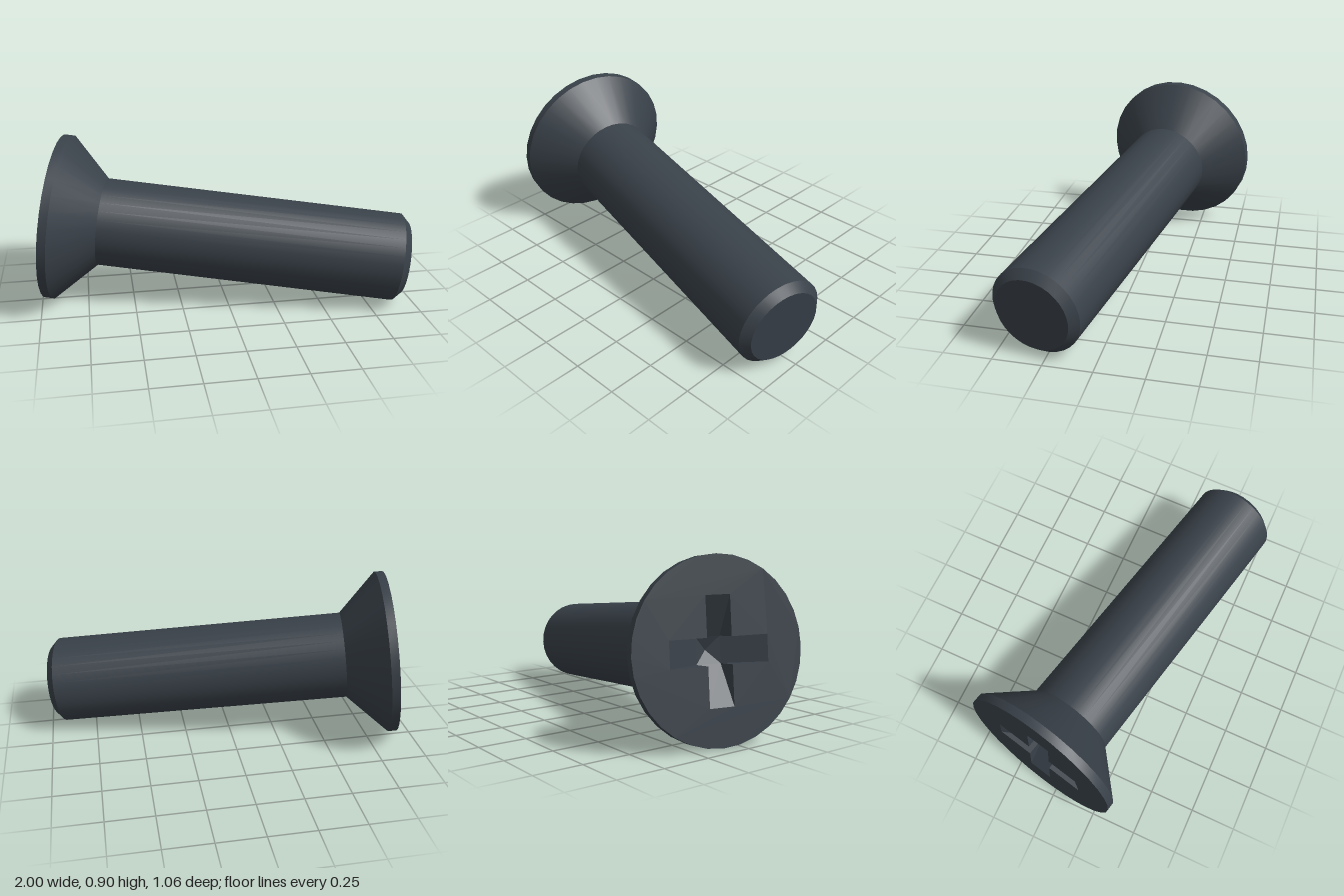
import * as THREE from 'three';
import { toCreasedNormals } from 'three/addons/utils/BufferGeometryUtils.js';

const SIDES = 32;
const HEAD_R = 0.448, SHAFT_R = 0.238;
const ARM = 0.26, HALF = 0.065, DEPTH = 0.11; // cross recess

export function createModel() {
  const steel = new THREE.MeshStandardMaterial({ color: 0x394149 });
  steel.name = 'darkSteel';

  const screw = new THREE.Group();
  screw.name = 'countersunkScrew';
  const add = (name, geometry) => {
    const mesh = new THREE.Mesh(geometry, steel);
    mesh.name = name;
    screw.add(mesh);
  };
  const turned = (profile) => toCreasedNormals(
    new THREE.LatheGeometry(profile.map(([r, y]) => new THREE.Vector2(r, y)), SIDES), 0.5);

  // Countersunk head: thin rim, then a 45 degree cone
  add('head', turned([[HEAD_R, 0], [HEAD_R, 0.045], [SHAFT_R, 0.255]]));

  // Shaft with a chamfered flat tip
  add('shaft', turned([[SHAFT_R, 0.255], [SHAFT_R, 1.861], [0.197, 1.902], [0, 1.902]]));

  // Flat head face with a cross-shaped opening
  const rim = [], cross = [];
  for (let i = 0; i < SIDES; i++) {
    const a = (i / SIDES) * Math.PI * 2;
    rim.push(new THREE.Vector2(HEAD_R * Math.cos(a), HEAD_R * Math.sin(a)));
  }
  const centre = new THREE.Vector2();
  for (let i = 0; i < 4; i++) {
    for (const [x, y] of [[ARM, -HALF], [ARM, HALF], [HALF, HALF]]) {
      cross.push(new THREE.Vector2(x, y).rotateAround(centre, i * Math.PI / 2));
    }
  }
  const faceShape = new THREE.Shape(rim);
  faceShape.holes.push(new THREE.Path(cross));
  add('headFace', new THREE.ShapeGeometry(faceShape).rotateX(Math.PI / 2));

  // Recess: each arm has a sloping floor, two side walls and a share of the centre
  const h = HALF, d = -DEPTH;
  const armTriangles = [
    [ARM, -h, 0], [ARM, h, 0], [h, h, d],
    [ARM, -h, 0], [h, h, d], [h, -h, d],
    [ARM, h, 0], [h, h, 0], [h, h, d],
    [ARM, -h, 0], [h, -h, d], [h, -h, 0],
    [h, -h, d], [h, h, d], [0, 0, d - 0.03],
  ];
  const points = [];
  for (let i = 0; i < 4; i++) {
    for (const [x, y, z] of armTriangles) {
      const p = new THREE.Vector2(x, y).rotateAround(centre, i * Math.PI / 2);
      points.push(new THREE.Vector3(p.x, p.y, z));
    }
  }
  const recess = new THREE.BufferGeometry().setFromPoints(points);
  recess.rotateX(Math.PI / 2);
  recess.computeVertexNormals();
  add('crossRecess', recess);

  // Lay the screw down, resting on the head rim and the tip
  const axis = new THREE.Vector3(1, -0.115, 0.214).normalize();
  const up = new THREE.Vector3(0, 1, 0).addScaledVector(axis, -axis.y).normalize();
  const side = new THREE.Vector3().crossVectors(axis, up);
  screw.quaternion.setFromRotationMatrix(new THREE.Matrix4().makeBasis(side, axis, up));
  screw.position.set(-0.894, 0.448, -0.091);

  const model = new THREE.Group();
  model.name = 'screwModel';
  model.add(screw);
  return model;
}
